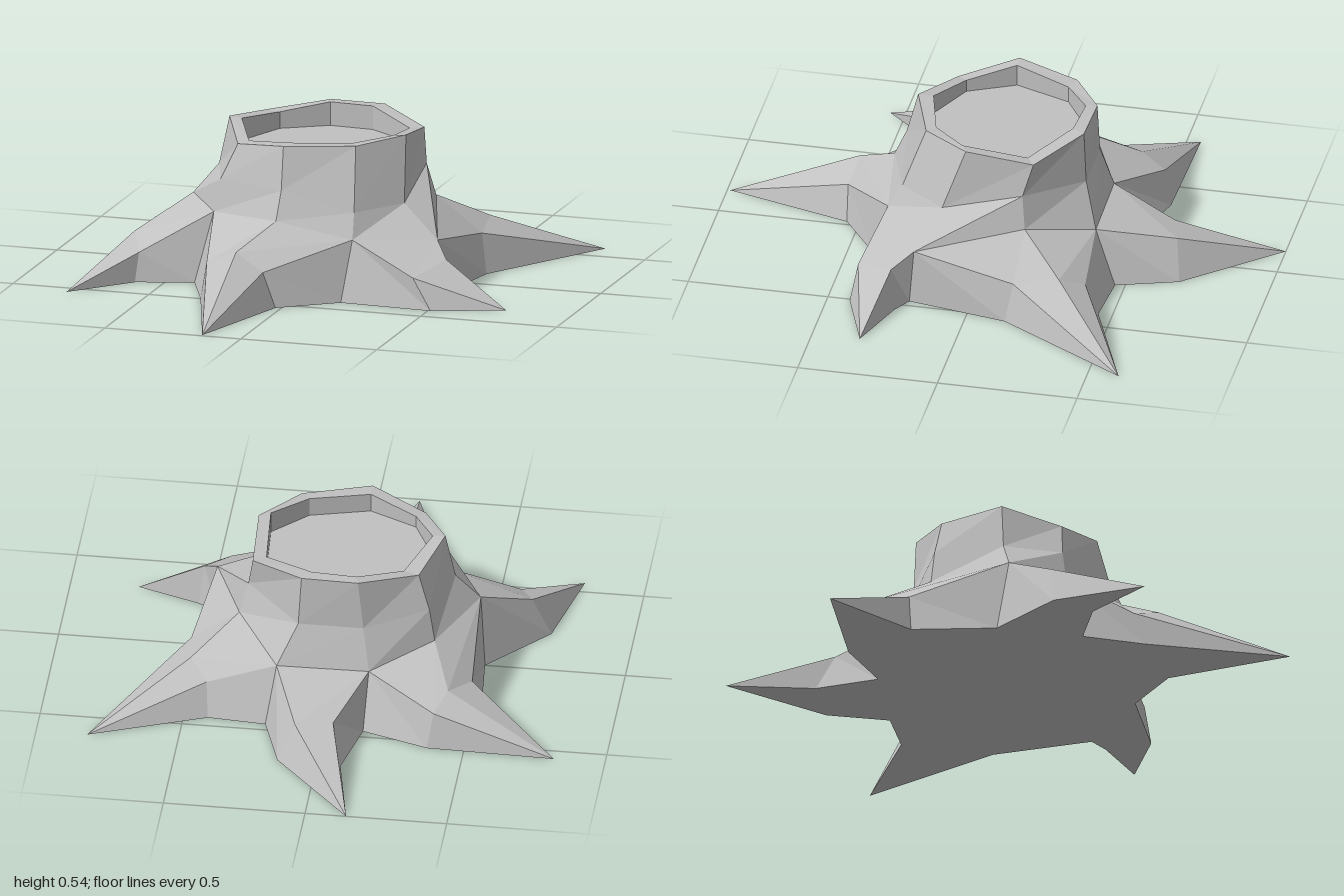
import * as THREE from 'three';

const stone = new THREE.MeshStandardMaterial({ color: 0xc0c0c0, flatShading: true });
stone.name = 'plainGrey';

// Rings of the trunk, running back -> right -> front -> left
const rim = [[-.1, .535, -.335], [.1, .535, -.33], [.29, .5, -.19], [.3, .53, .05], [.17, .52, .22],
  [-.07, .52, .3], [-.27, .49, .2], [-.365, .535, 0], [-.3, .51, -.22]];
const inner = [[-.09, .535, -.295], [.07, .535, -.285], [.245, .5, -.16], [.26, .53, .07], [.14, .52, .19],
  [-.07, .52, .245], [-.24, .495, .165], [-.32, .53, 0], [-.245, .51, -.2]];
const waist = [[-.12, .35, -.34], [.11, .35, -.34], [.31, .38, -.155], [.32, .305, .13], [.19, .3, .3],
  [-.065, .37, .34], [-.33, .36, .21], [-.4, .365, .01], [-.34, .38, -.24]];
const flare = [[-.145, .2, -.385], [.18, .2, -.39], [.34, .265, -.17], [.465, .2, .2], [.2, .215, .35],
  [-.07, .27, .385], [-.35, .245, .225], [-.485, .26, .04], [-.36, .26, -.25]];

// Ground point of each notch between roots, keyed by flare index
const notch = { 0: [-.135, 0, -.465], 1: [.21, 0, -.465], 3: [.47, 0, .215], 4: [.175, 0, .405],
  6: [-.4, 0, .29], 7: [-.505, 0, 0] };

// Each root: flare points it grows from, its middle cross-section, its tip
const roots = [
  { name: 'backRoot', from: [0, 1], tip: [-.145, 0, -1],
    mid: [[-.085, 0, -.69], [-.05, .135, -.625], [.08, .14, -.66], [.14, 0, -.68]] },
  { name: 'backLeftRoot', from: [1, 2, 3], tip: [.82, 0, -.61],
    mid: [[.415, 0, -.45], [.425, .12, -.405], [.49, .165, -.325], [.51, .14, -.165], [.535, 0, -.14]] },
  { name: 'frontLeftRoot', from: [3, 4], tip: [.76, 0, .33],
    mid: [[.54, 0, .255], [.52, .15, .27], [.44, .11, .405], [.51, 0, .42]] },
  { name: 'frontRoot', from: [4, 5, 6], tip: [-.145, 0, .99],
    mid: [[-.02, 0, .545], [-.065, .125, .55], [-.17, .185, .53], [-.3, .125, .46], [-.31, 0, .5]] },
  { name: 'frontRightRoot', from: [6, 7], tip: [-.785, 0, .555],
    mid: [[-.6, 0, .35], [-.59, .105, .335], [-.645, .15, .21], [-.71, 0, .225]] },
  { name: 'backRightRoot', from: [7, 8, 0], tip: [-.82, 0, -.55],
    mid: [[-.53, 0, -.3], [-.5, .14, -.31], [-.43, .17, -.425], [-.39, .13, -.515], [-.37, 0, -.54]] },
];

// Joins successive rows of points with faces
function loft(rows, closed) {
  const pos = [];
  for (let r = 0; r + 1 < rows.length; r++) {
    const a = rows[r], b = rows[r + 1], n = a.length;
    for (let i = 0; i < (closed ? n : n - 1); i++) {
      const j = (i + 1) % n;
      if (a[i] !== a[j]) pos.push(...a[i], ...a[j], ...b[j]);
      if (b[i] !== b[j]) pos.push(...a[i], ...b[j], ...b[i]);
    }
  }
  const geo = new THREE.BufferGeometry();
  geo.setAttribute('position', new THREE.Float32BufferAttribute(pos, 3));
  geo.computeVertexNormals();
  return geo;
}

export function createModel() {
  const model = new THREE.Group();
  model.name = 'stump';
  const add = (name, geo) => {
    const mesh = new THREE.Mesh(geo, stone);
    mesh.name = name;
    model.add(mesh);
  };

  // Trunk wall, rim and shallow hollow
  const floor = inner.map(([x, , z]) => [x, .45, z]);
  add('trunk', loft([inner, rim, waist, flare], true));
  const centre = [-.03, .45, -.02];
  add('hollow', loft([floor.map(() => centre), floor, inner], true));

  // Roots
  const outline = [];
  for (const { name, from, mid, tip } of roots) {
    const start = notch[from[0]], end = notch[from[from.length - 1]];
    const base = [start, ...from.map(i => flare[i]), end];
    add(name, loft([base, mid, mid.map(() => tip)], false));
    outline.push(start, mid[0], tip, mid[mid.length - 1]);
  }

  // Flat underside
  const shape = new THREE.Shape(outline.map(p => new THREE.Vector2(p[0], p[2])));
  add('underside', new THREE.ShapeGeometry(shape).rotateX(Math.PI / 2));
  return model;
}
